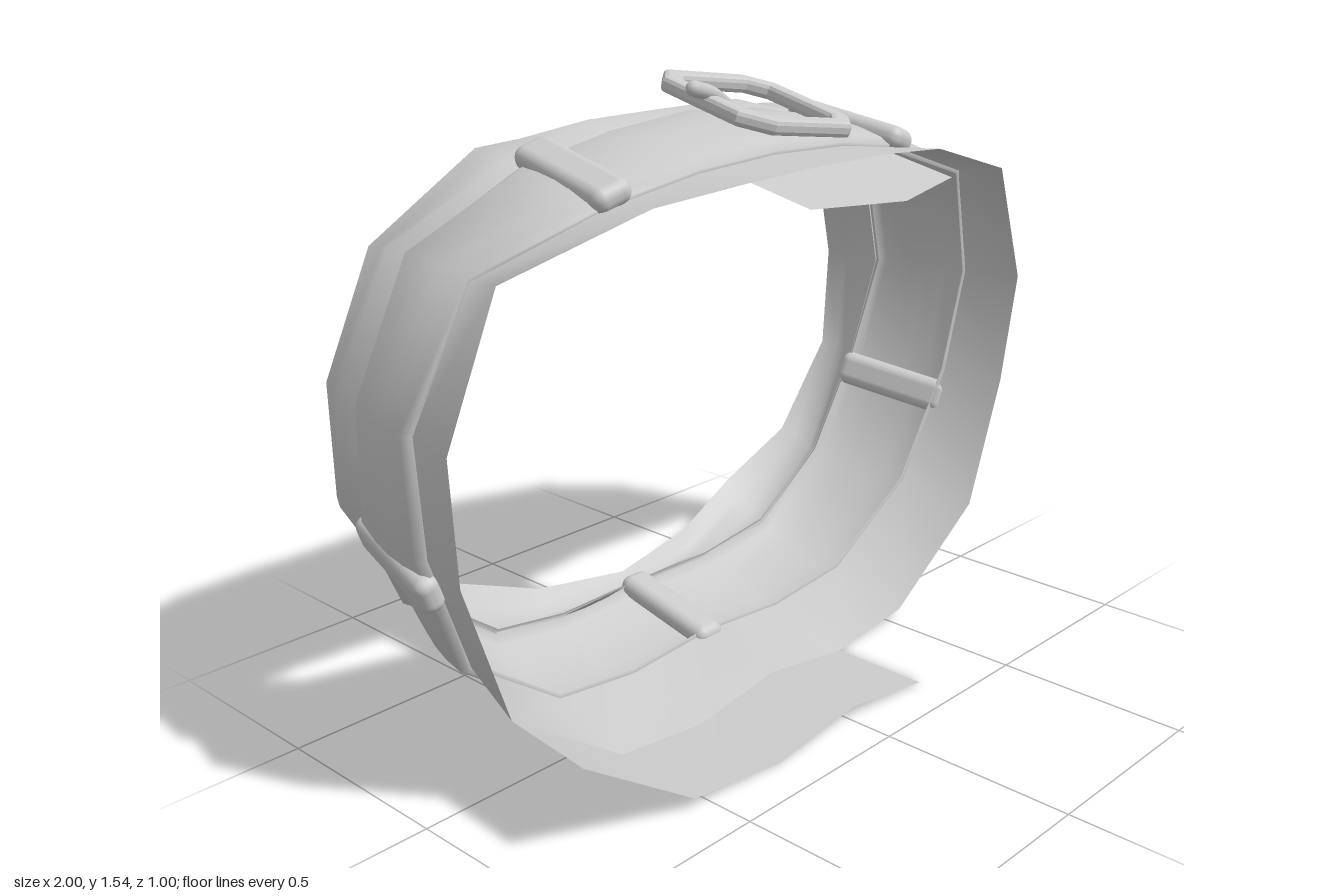
import * as THREE from 'three';
import { RoundedBoxGeometry } from 'three/addons/geometries/RoundedBoxGeometry.js';

const material = new THREE.MeshStandardMaterial({ color: 0xcccccc, side: THREE.DoubleSide });
const V = (p) => new THREE.Vector3(...p);

// Half rings from top centre down the left side to bottom centre
const hem = [[0, 1.36, .27], [.25, 1.355, .27], [.5, 1.33, .225], [.87, 1.225, .165], [1, .9, .15],
  [.97, .6, .13], [.85, .25, .125], [.53, .03, .125], [.27, 0, .125], [0, .04, .125]];
const front = [[0, 1.375, .12], [.25, 1.365, .12], [.5, 1.325, .1], [.85, 1.215, .05], [.98, .9, 0],
  [.94, .6, -.03], [.81, .28, -.07], [.53, .08, -.09], [.27, .045, -.1], [0, .065, -.1]];
const back = [[0, 1.43, -.19], [.25, 1.41, -.19], [.5, 1.36, -.2], [.79, 1.21, -.24], [.91, .9, -.28],
  [.88, .61, -.34], [.73, .33, -.36], [.5, .16, -.37], [.27, .12, -.38], [0, .125, -.38]];
const rim = [[0, 1.4, -.34], [.25, 1.4, -.35], [.5, 1.39, -.35], [.77, 1.2, -.4], [.88, .9, -.44],
  [.87, .62, -.45], [.72, .37, -.48], [.5, .26, -.5], [.27, .18, -.46], [0, .15, -.43]];

// Mirror a half ring into a closed loop
function ring(half) {
  const mirrored = half.slice(1, -1).reverse().map(([x, y, z]) => [-x, y, z]);
  return [...half, ...mirrored].map(V);
}

// Skin rows of points, optionally joining each row end to its start
function loft(name, rows, closed) {
  const n = rows[0].length, index = [];
  for (let r = 0; r < rows.length - 1; r++) {
    for (let i = 0; i < (closed ? n : n - 1); i++) {
      const j = (i + 1) % n, a = r * n, b = a + n;
      index.push(a + i, a + j, b + i, a + j, b + j, b + i);
    }
  }
  const geometry = new THREE.BufferGeometry().setFromPoints(rows.flat());
  geometry.setIndex(index);
  geometry.computeVertexNormals();
  const mesh = new THREE.Mesh(geometry, material);
  mesh.name = name;
  return mesh;
}

// A row between two rings, pushed outward in the xy plane
function between(A, B, t, push) {
  const mid = A.map((p, i) => p.clone().lerp(B[i], t));
  return mid.map((p, i) => {
    const d = mid[(i + 1) % mid.length].clone().sub(mid.at(i - 1));
    const normal = new THREE.Vector3(-d.y, d.x, 0).normalize();
    const amount = typeof push === 'function' ? push(i) : push;
    return p.clone().addScaledVector(normal, amount);
  });
}

// Rounded keeper lying across the belt between two points
function beltLoop(name, a, b, width, out) {
  const A = V(a), B = V(b), along = B.clone().sub(A);
  const mesh = new THREE.Mesh(new RoundedBoxGeometry(width, .06, along.length(), 3, .028), material);
  const z = along.clone().normalize();
  const x = V(out).cross(z).normalize();
  const y = z.clone().cross(x);
  mesh.quaternion.setFromRotationMatrix(new THREE.Matrix4().makeBasis(x, y, z));
  mesh.position.copy(A.add(B).multiplyScalar(.5));
  mesh.name = name;
  return mesh;
}

// Chamfered frame with a thick bar section and a prong
function buckle() {
  const group = new THREE.Group();
  group.name = 'buckle';
  const outline = (Type, w, h, c) => {
    const s = new Type();
    [[-w + c, -h], [w - c, -h], [w, -h + c], [w, h - c], [w - c, h], [-w + c, h], [-w, h - c], [-w, -h + c]]
      .forEach(([x, y], i) => (i ? s.lineTo(x, y) : s.moveTo(x, y)));
    s.closePath();
    return s;
  };
  const shape = outline(THREE.Shape, .19, .18, .06);
  shape.holes.push(outline(THREE.Path, .163, .153, .045));
  const geometry = new THREE.ExtrudeGeometry(shape,
    { depth: .015, bevelEnabled: true, bevelThickness: .012, bevelSize: .012, bevelSegments: 2 });
  geometry.translate(0, 0, -.0075).rotateX(-Math.PI / 2);
  const frame = new THREE.Mesh(geometry, material);
  frame.name = 'buckleFrame';
  // Plane tilted up towards the back and the right
  const x = V([.4, -.055, 0]).normalize();
  const z = V([0, -.08, .34]).normalize();
  const y = z.clone().cross(x).normalize();
  z.crossVectors(x, y);
  frame.quaternion.setFromRotationMatrix(new THREE.Matrix4().makeBasis(x, y, z));
  frame.position.set(.095, 1.46, -.025);
  const path = new THREE.CatmullRomCurve3([[-.14, 1.52, -.005], [-.07, 1.5, -.015], [.01, 1.455, -.03]].map(V));
  const prong = new THREE.Mesh(new THREE.TubeGeometry(path, 6, .019, 8), material);
  prong.name = 'buckleProng';
  const tip = new THREE.Mesh(new THREE.SphereGeometry(.019, 8, 6), material);
  tip.position.set(-.14, 1.52, -.005);
  tip.name = 'prongTip';
  group.add(frame, prong, tip);
  return group;
}

export function createModel() {
  const model = new THREE.Group();
  model.name = 'belt';
  const H = ring(hem), F = ring(front), B = ring(back), R = ring(rim);

  // Cloth skirt below the belt, with a pointed front tab and a rear flap
  model.add(loft('skirt', [H, between(F, B, .05, -.012)], true));
  model.add(loft('frontTab', [
    [[-.25, 1.32, .44], [0, 1.31, .5], [.25, 1.32, .44]].map(V),
    [[-.25, 1.355, .27], [0, 1.36, .27], [.25, 1.355, .27]].map(V)]));
  const flapTop = [[.27, 0, .125], [0, .04, .125], [-.27, 0, .125], [-.53, .03, .125], [-.85, .25, .125]];
  const flapEnd = [[.27, 0, .39], [0, .04, .39], [-.27, 0, .387], [-.55, .03, .38], [-.865, .24, .37]];
  model.add(loft('rearFlap', [flapEnd.map(V), flapTop.map(V)]));

  // Belt band, bowed outward with edges turned in
  const band = [[.03, -.02], [0, 0], [.08, .014], [.3, .024], [.5, .027], [.7, .024], [.92, .014], [1, 0], [.97, -.02]];
  model.add(loft('beltBand', band.map(([t, push]) => between(F, B, t, push)), true));

  // Gathered cloth above the belt
  const fold = (i) => .018 + .014 * Math.sin(i * 2.3);
  model.add(loft('gatheredCloth',
    [between(B, R, -.1, -.015), between(B, R, .3, fold), between(B, R, .65, (i) => .6 * fold(i + 1)), R], true));

  // Belt loops
  for (const s of [-1, 1]) {
    model.add(beltLoop('frontLoop', [s * .5, 1.335, .12], [s * .455, 1.395, -.215], .1, [s * .35, 1, 0]));
    model.add(beltLoop('sideLoop', [s * .925, .515, -.025], [s * .855, .565, -.36], .095, [s, -.4, 0]));
  }
  model.add(beltLoop('rearLoop', [0, .065, -.085], [0, .135, -.4], .09, [0, -1, 0]));

  model.add(buckle());
  return model;
}
